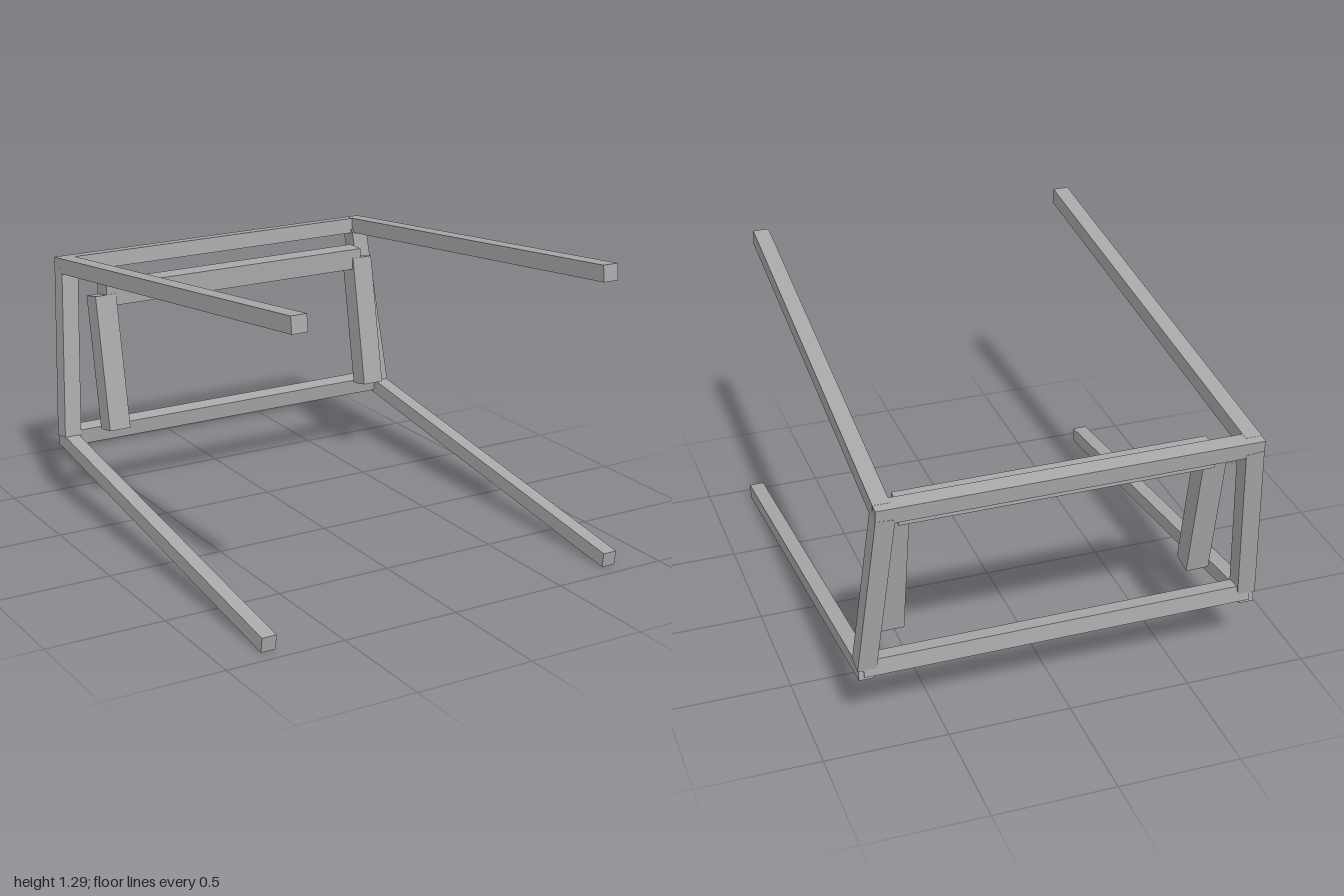
import * as THREE from 'three';

export function createModel() {
  const model = new THREE.Group();
  const grey = new THREE.MeshStandardMaterial({ color: 0xa8a8a8 });
  grey.name = 'grey';

  // Square-ended beam running from one point to another
  function beam(name, from, to, width, depth, up = [0, 1, 0]) {
    const a = new THREE.Vector3(...from), b = new THREE.Vector3(...to);
    const mesh = new THREE.Mesh(new THREE.BoxGeometry(width, depth, a.distanceTo(b)), grey);
    mesh.name = name;
    mesh.position.copy(a).add(b).multiplyScalar(0.5);
    mesh.up.set(...up);
    mesh.lookAt(b);
    model.add(mesh);
  }

  // Bar running across the frame, tilted about its own length
  function crossbar(name, length, size, y, z, tilt = 0) {
    const mesh = new THREE.Mesh(new THREE.BoxGeometry(length, size, size), grey);
    mesh.name = name;
    mesh.position.set(0, y, z);
    mesh.rotation.x = tilt;
    model.add(mesh);
  }

  // Mirrored beams
  for (const [side, s] of [['left', 1], ['right', -1]]) {
    beam(side + 'UpperArm', [s * 0.732, 1.045, -0.96], [s * 0.688, 1.265, 0.996], 0.067, 0.067);
    beam(side + 'LowerArm', [s * 0.79, 0.294, -0.888], [s * 0.79, 0.036, 0.938], 0.062, 0.062);
    beam(side + 'BackPost', [s * 0.787, 0.307, -0.853], [s * 0.727, 1.03, -0.957], 0.075, 0.078, [0, 0, 1]);
    beam(side + 'InnerPost', [s * 0.64, 0.363, -0.689], [s * 0.64, 0.937, -0.794], 0.096, 0.095, [0, 0, 1]);
  }

  // Bars joining the two sides
  crossbar('upperBackBar', 1.53, 0.067, 1.044, -0.963, -0.111);
  crossbar('lowerBackBar', 1.6, 0.069, 0.305, -0.858, 0.14);
  crossbar('innerTopBar', 1.27, 0.092, 0.939, -0.797);

  return model;
}
